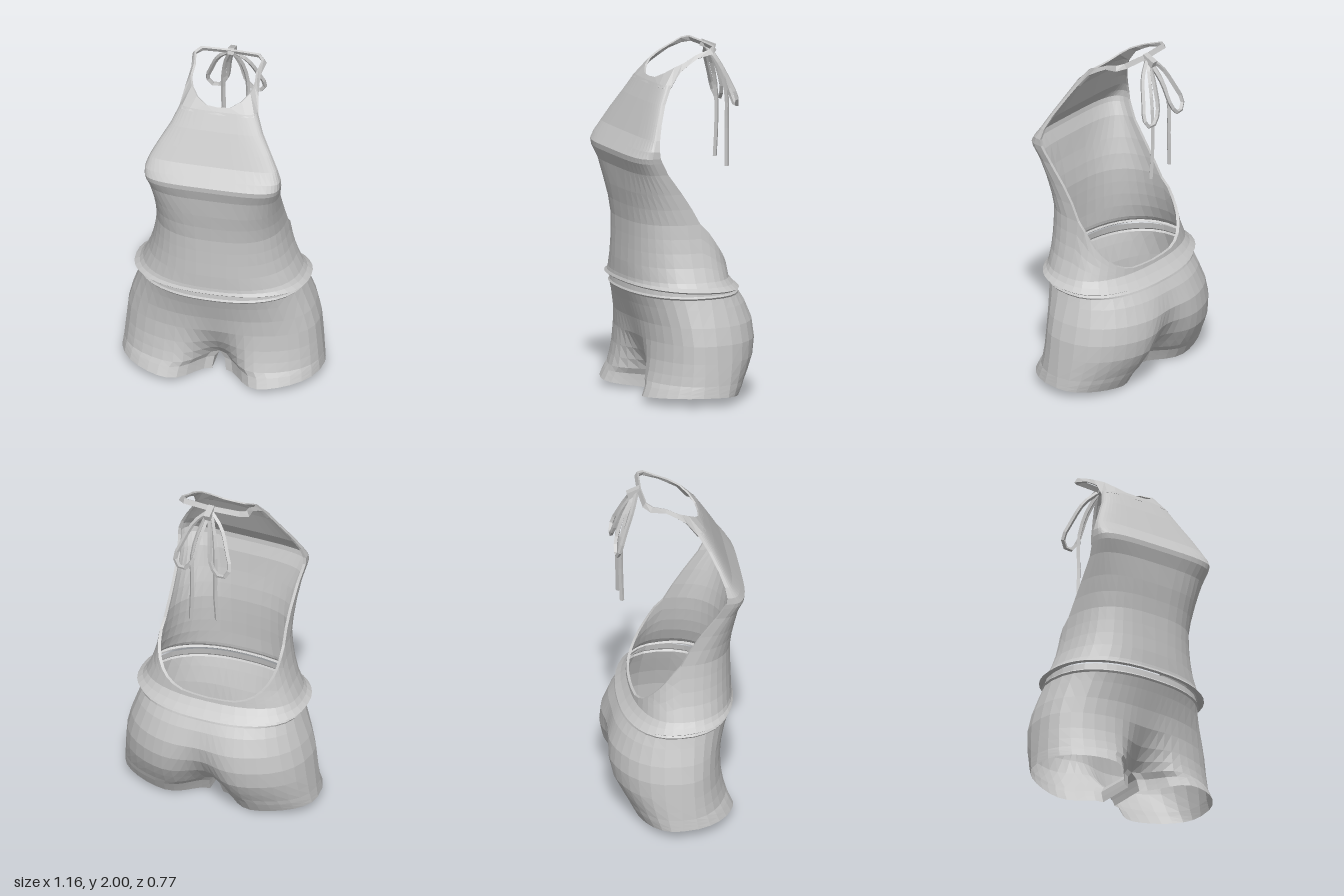
import * as THREE from 'three';

const fabric = new THREE.MeshStandardMaterial({ color: 0xc6c6c6, flatShading: true, side: THREE.DoubleSide });
const spow = (v, e) => Math.sign(v) * Math.pow(Math.abs(v), e);
const lerp = THREE.MathUtils.lerp;

// Skin a list of equally long point rows into one surface
function skin(name, rows) {
  const n = rows[0].length, index = [];
  for (let r = 0; r < rows.length - 1; r++) {
    for (let c = 0; c < n - 1; c++) {
      const a = r * n + c, b = a + n;
      index.push(a, a + 1, b, a + 1, b + 1, b);
    }
  }
  const geo = new THREE.BufferGeometry();
  geo.setAttribute('position', new THREE.Float32BufferAttribute(rows.flat(2), 3));
  geo.setIndex(index);
  geo.computeVertexNormals();
  const mesh = new THREE.Mesh(geo, fabric);
  mesh.name = name;
  return mesh;
}

const mirror = (rows) => rows.map((row) => row.map(([x, y, z]) => [-x, y, z]));

// Row of a table at a given first value, interpolated linearly
function sample(table, key) {
  let i = 1;
  while (i < table.length - 1 && table[i][0] < key) i++;
  const a = table[i - 1], b = table[i];
  const t = THREE.MathUtils.clamp((key - a[0]) / (b[0] - a[0]), 0, 1);
  return a.map((v, k) => lerp(v, b[k], t));
}

// Point on a rounded section, angle 0 at the front centre
function sectionPoint(a, y, w, zf, zc, zb, e) {
  const c = spow(Math.cos(a), e);
  return [w * spow(Math.sin(a), e), y, zc + c * (c > 0 ? zf - zc : zc - zb)];
}

function bodice() {
  const group = new THREE.Group();
  group.name = 'bodice';
  // y, half width, front z, widest z, back z, roundness
  const waist = [
    [0.70, 0.455, 0.325, 0, -0.25, 0.85],
    [0.79, 0.415, 0.325, 0, -0.24, 0.85],
    [0.9, 0.385, 0.32, 0, -0.22, 0.8],
    [1.02, 0.37, 0.32, 0, -0.2, 0.75],
  ];
  const chest = [
    waist[3],
    [1.11, 0.365, 0.33, 0.05, 0, 0.72],
    [1.2, 0.365, 0.345, 0.11, 0, 0.68],
    [1.32, 0.372, 0.36, 0.2, 0, 0.6],
    [1.39, 0.385, 0.383, 0.24, 0, 0.52],
    [1.42, 0.39, 0.385, 0.255, 0, 0.52],
    [1.46, 0.39, 0.355, 0.26, 0, 0.52],
    [1.52, 0.368, 0.31, 0.25, 0, 0.55],
    [1.6, 0.325, 0.27, 0.22, 0, 0.6],
    [1.7, 0.265, 0.22, 0.17, 0, 0.6],
    [1.8, 0.22, 0.165, 0.11, 0, 0.6],
  ];
  // Height of the open back edge by angle in degrees
  const edgeHeight = [[0, 1.02], [90, 1.02], [112, 0.9], [137, 0.79], [149, 0.75], [162, 0.727], [180, 0.72]];

  const lower = [0, 0.25, 0.5, 0.75, 1].map((v) => {
    const row = [];
    for (let deg = -180; deg <= 180; deg += 9) {
      const y = lerp(0.70, sample(edgeHeight, Math.abs(deg))[1], v);
      row.push(sectionPoint(THREE.MathUtils.degToRad(deg), ...sample(waist, y)));
    }
    return row;
  });
  const upper = chest.map((r) => {
    const row = [];
    for (let deg = -90; deg <= 90; deg += 9) row.push(sectionPoint(THREE.MathUtils.degToRad(deg), ...r));
    return row;
  });

  // Narrow turned-in binding along the open back
  const top = lower[4];
  const sideEdge = upper.map((row) => row[20]);
  const edge = [...sideEdge.reverse(), ...top.slice(31), ...top.slice(1, 11), ...mirror([sideEdge])[0].reverse()];
  const folded = edge.map(([x, y, z]) => [x * 0.955, y, z < 0 ? z * 0.94 : z]);
  group.add(skin('waistPanel', lower), skin('chestPanel', upper), skin('backBinding', [edge, folded]));
  return group;
}

// Gathered fold hanging over the waist, lower at the back
function waistFrill() {
  const table = [
    [0.70, 0.455, 0.325, -0.25, 0],
    [0.672, 0.475, 0.327, -0.28, 0.03],
    [0.65, 0.505, 0.335, -0.312, 0.05],
    [0.642, 0.495, 0.325, -0.3, 0.05],
    [0.655, 0.465, 0.31, -0.27, 0.05],
  ];
  return skin('waistFrill', table.map(([y, w, zf, zb, tilt]) => {
    const row = [];
    for (let i = 0; i <= 40; i++) {
      const p = sectionPoint(i / 20 * Math.PI, y, w, zf, 0, zb, 0.85);
      p[1] += tilt * p[2];
      row.push(p);
    }
    return row;
  }));
}

// Half of the shorts' outer arc; the centre seam is drawn in to seamF and seamB
function hipArc([y, w, zf, zb, seamF, seamB], inner = 0) {
  const row = [];
  for (let i = 0; i <= 24; i++) {
    const t = i / 24 * Math.PI;
    const [x, , z] = sectionPoint(t - 0.3 * Math.sin(2 * t), y, w - inner, zf, -0.02, zb, 0.87);
    const pull = Math.exp(-Math.pow(x / 0.13, 2));
    const offset = i <= 12 ? seamF - zf : seamB - zb;
    row.push([x + inner, y, z + offset * pull]);
  }
  return row;
}

function shorts() {
  const group = new THREE.Group();
  group.name = 'shorts';
  // y, half width, front z, back z, front seam z, back seam z
  const table = [
    [0.66, 0.465, 0.31, -0.27, 0.31, -0.27],
    [0.625, 0.47, 0.315, -0.3, 0.315, -0.3],
    [0.615, 0.48, 0.322, -0.312, 0.322, -0.312],
    [0.605, 0.472, 0.315, -0.318, 0.315, -0.315],
    [0.55, 0.49, 0.295, -0.355, 0.295, -0.345],
    [0.45, 0.525, 0.268, -0.397, 0.262, -0.37],
    [0.35, 0.55, 0.258, -0.407, 0.238, -0.35],
    [0.25, 0.56, 0.265, -0.39, 0.19, -0.29],
    [0.18, 0.567, 0.28, -0.355, 0.145, -0.22],
    [0.125, 0.572, 0.298, -0.322, 0.1, -0.16],
  ];
  const pelvis = table.map((r) => hipArc(r));

  // Legs: closed loops from the crotch down to the slanted hem
  const crotch = table[table.length - 1];
  const hem = [0, 0.58, 0.342, -0.265, 0.12, -0.11];
  const legs = [0, 0.33, 0.67, 1].map((t) => {
    const row = hipArc(crotch.map((v, i) => lerp(v, hem[i], t)), 0.04 * Math.pow(t, 0.3));
    const back = row[24], front = row[0];
    for (let i = 1; i <= 6; i++) row.push([front[0], 0, lerp(back[2], front[2], i / 6)]);
    return row.map(([x, , z]) => [x, lerp(0.125, 0.01 + 0.092 * Math.max(0, x - 0.04) + 0.03 * z, t), z]);
  });

  group.add(skin('leftHip', pelvis), skin('rightHip', mirror(pelvis)));
  group.add(skin('leftLeg', legs), skin('rightLeg', mirror(legs)));
  return group;
}

// Neckline and straps running round to the nape, overlapping the chest panel
function straps() {
  const inner = [[0, 1.82, 0.15], [0.07, 1.825, 0.145], [0.13, 1.855, 0.115], [0.17, 1.89, 0.07], [0.185, 1.91, 0.03],
    [0.19, 1.925, 0], [0.185, 1.955, -0.06], [0.2, 1.985, -0.14], [0.17, 1.997, -0.175], [0, 1.995, -0.185]];
  const outer = [[0, 1.785, 0.175], [0.165, 1.785, 0.169], [0.213, 1.785, 0.155], [0.228, 1.785, 0.119],
    [0.212, 1.865, 0.055], [0.205, 1.9, 0], [0.2, 1.935, -0.06], [0.215, 1.957, -0.15], [0.17, 1.97, -0.19], [0, 1.97, -0.2]];
  const inset = (pts) => pts.map(([x, y, z]) => [x * 0.94, y - 0.006, z * 0.95]);
  const rows = [inner, outer, inset(outer), inset(inner), inner];
  const group = new THREE.Group();
  group.name = 'neckStraps';
  group.add(skin('leftStrap', rows), skin('rightStrap', mirror(rows)));
  return group;
}

// Tied bow with two loops and two hanging ends
function bow() {
  const group = new THREE.Group();
  group.name = 'bow';
  const cord = (name, pts, side, steps) => {
    const curve = new THREE.CatmullRomCurve3(pts.map(([x, y, z]) => new THREE.Vector3(x * side, y, z)));
    const mesh = new THREE.Mesh(new THREE.TubeGeometry(curve, steps, 0.013, 4), fabric);
    mesh.name = name;
    group.add(mesh);
  };
  for (const side of [1, -1]) {
    const label = side > 0 ? 'left' : 'right';
    cord(label + 'Loop', [[0, 1.975, -0.2], [0.08, 1.9, -0.235], [0.135, 1.78, -0.285], [0.165, 1.68, -0.32],
      [0.12, 1.63, -0.333], [0.06, 1.69, -0.328], [0.03, 1.84, -0.28], [0, 1.965, -0.21]], side, 18);
    cord(label + 'End', [[0, 1.97, -0.2], [0.04, 1.88, -0.25], [0.07, 1.72, -0.295], [0.07, 1.5, -0.3],
      [0.08, side > 0 ? 1.28 : 1.31, -0.295]], side, 10);
  }
  const knot = new THREE.Mesh(new THREE.BoxGeometry(0.036, 0.04, 0.08), fabric);
  knot.name = 'knot';
  knot.position.set(0, 1.968, -0.215);
  knot.rotation.x = -0.4;
  group.add(knot);
  return group;
}

export function createModel() {
  const model = new THREE.Group();
  model.name = 'halterRomper';
  model.add(bodice(), waistFrill(), shorts(), straps(), bow());
  return model;
}
